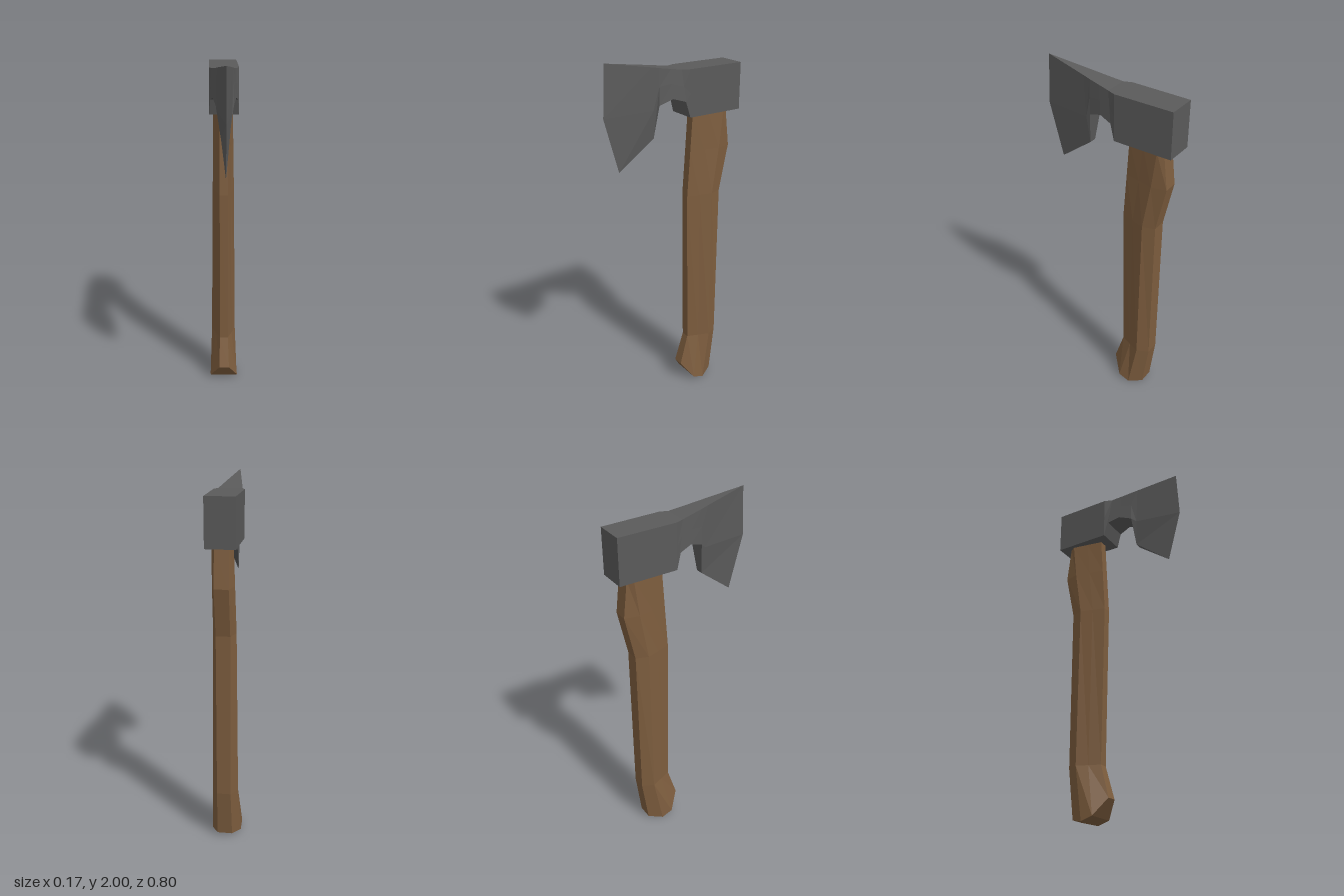
import * as THREE from 'three';

const wood = new THREE.MeshStandardMaterial({ color: 0x7d5d3e });
wood.name = 'brownWood';
const steel = new THREE.MeshStandardMaterial({ color: 0x5a5a5a });
steel.name = 'darkSteel';

// Faceted loft: each section lists [z, y, halfWidth] points of its +x side,
// which is mirrored to close the ring.
function loft(sections) {
  const rings = sections.map((half) => [
    ...half.map(([z, y, w]) => new THREE.Vector3(w, y, z)),
    ...half.map(([z, y, w]) => new THREE.Vector3(-w, y, z)).reverse(),
  ]);
  const n = rings[0].length;
  const points = [];
  const quad = (a, b, c, d) => points.push(a, b, c, a, c, d);
  for (let s = 0; s < rings.length - 1; s++) {
    for (let i = 0; i < n; i++) {
      const j = (i + 1) % n;
      quad(rings[s][i], rings[s + 1][i], rings[s + 1][j], rings[s][j]);
    }
  }
  const first = rings[0];
  const last = rings[rings.length - 1];
  for (let i = 0; i < n / 2 - 1; i++) {
    quad(first[i], first[i + 1], first[n - 2 - i], first[n - 1 - i]);
    quad(last[n - 1 - i], last[n - 2 - i], last[i + 1], last[i]);
  }
  const geometry = new THREE.BufferGeometry().setFromPoints(points);
  geometry.computeVertexNormals();
  return geometry;
}

// Handle section: narrow front face, widest seam, broader back face
function handleSection(y, front, seam, back, width) {
  const frontWidth = 0.024;
  return [
    [front, y, frontWidth],
    [(front + seam) / 2, y, (frontWidth + width) / 2],
    [seam, y, width],
    [back, y, 0.038],
  ];
}

export function createModel() {
  const group = new THREE.Group();
  group.name = 'axe';

  // Curved wooden handle, top to bottom, with a flared foot
  const handle = new THREE.Mesh(loft([
    handleSection(1.8, -0.133, -0.315, -0.325, 0.054),
    handleSection(1.685, -0.125, -0.305, -0.335, 0.056),
    handleSection(1.48, -0.112, -0.28, -0.36, 0.059),
    handleSection(1.22, -0.095, -0.238, -0.305, 0.062),
    handleSection(0.295, -0.107, -0.235, -0.3, 0.072),
    [[-0.055, 0.115, 0.03], [-0.12, 0.022, 0.083], [-0.187, 0, 0.083], [-0.265, 0.018, 0.042]],
  ]), wood);
  handle.name = 'handle';
  group.add(handle);

  // Steel head from the square back to the sharp cutting edge
  const head = new THREE.Mesh(loft([
    [[-0.395, 1.935, 0.077], [-0.395, 1.81, 0.077], [-0.395, 1.685, 0.077]],
    [[-0.07, 1.935, 0.08], [-0.07, 1.81, 0.08], [-0.07, 1.685, 0.08]],
    [[-0.025, 1.935, 0.063], [-0.035, 1.85, 0.069], [-0.045, 1.77, 0.074]],
    [[0.035, 1.944, 0.054], [0.03, 1.87, 0.058], [0.025, 1.792, 0.062]],
    [[0.1, 1.954, 0.045], [0.1, 1.86, 0.046], [0.1, 1.765, 0.047]],
    [[0.14, 1.961, 0.038], [0.13, 1.74, 0.037], [0.12, 1.59, 0.02]],
    [[0.385, 2, 0], [0.4, 1.73, 0], [0.32, 1.435, 0]],
  ]), steel);
  head.name = 'axeHead';
  group.add(head);

  return group;
}
